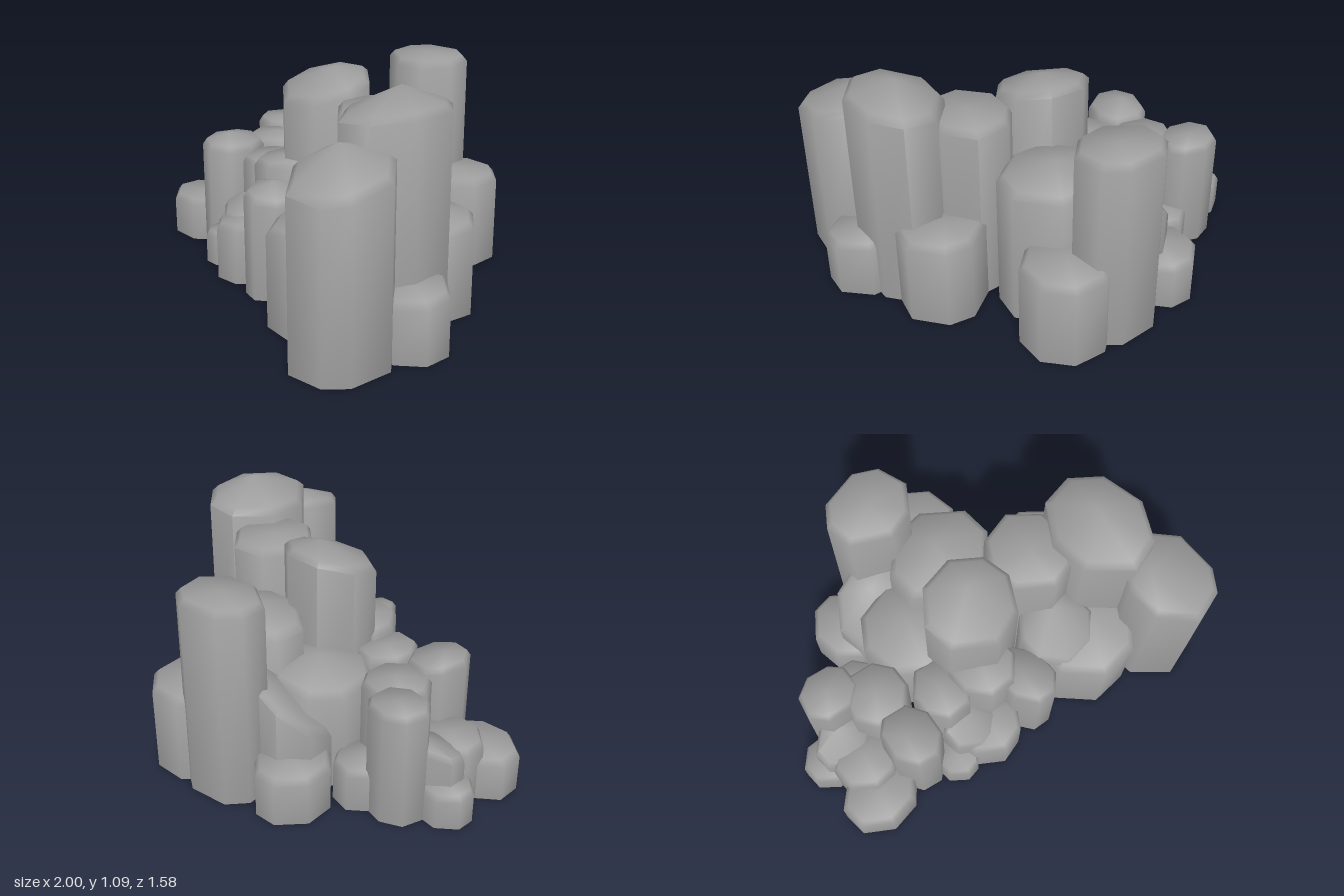
import * as THREE from 'three';
import { toCreasedNormals } from 'three/addons/utils/BufferGeometryUtils.js';

// Small seeded generator for the irregular outlines
function seeded(seed) {
  let s = seed * 7919 + 13;
  return () => (s = (s * 16807) % 2147483647) / 2147483647;
}

// Eight-sided outline with uneven corners, fitted to the box x0..x1, z0..z1
function outline(x0, x1, z0, z1, rand) {
  const n = 8, pts = [], turn = Math.PI / 8 + (rand() - 0.5) * 0.4;
  for (let i = 0; i < n; i++) {
    const a = ((i + (rand() - 0.5) * 0.35) / n) * Math.PI * 2 + turn;
    pts.push([Math.cos(a), Math.sin(a)]);
  }
  const fit = (k, lo, hi) => {
    const v = pts.map((p) => p[k]), min = Math.min(...v), max = Math.max(...v);
    pts.forEach((p) => { p[k] = lo + ((p[k] - min) / (max - min)) * (hi - lo); });
  };
  fit(0, x0, x1);
  fit(1, z0, z1);
  return pts;
}

// Open-bottomed column: wall, soft bevel and a sloping, pointed cap
function columnGeometry(c, seed) {
  const [x0, x1, z0, z1, rim, apex, sx = 0, sz = 0, ax = 0, az = 0] = c;
  const cx = (x0 + x1) / 2, cz = (z0 + z1) / 2;
  const pts = outline(x0, x1, z0, z1, seeded(seed));
  const n = pts.length, pos = [], index = [];
  const slope = (x, z) => rim + sx * (x - cx) + sz * (z - cz);
  pts.forEach(([x, z]) => pos.push(x, 0, z));
  pts.forEach(([x, z]) => pos.push(x, slope(x, z) - 0.02, z));
  pts.forEach(([x, z]) => {
    const bx = cx + (x - cx) * 0.87, bz = cz + (z - cz) * 0.87;
    pos.push(bx, slope(bx, bz) + 0.01, bz);
  });
  pos.push(cx + ax, apex, cz + az);
  for (let i = 0; i < n; i++) {
    const j = (i + 1) % n;
    for (const r of [0, n]) index.push(r + i, r + n + i, r + j, r + j, r + n + i, r + n + j);
    index.push(2 * n + i, 3 * n, 2 * n + j);
  }
  const g = new THREE.BufferGeometry();
  g.setAttribute('position', new THREE.Float32BufferAttribute(pos, 3));
  g.setIndex(index);
  return toCreasedNormals(g, 1.1);
}

// Each row: x0, x1, z0, z1, rim height, apex height, slope x, slope z, apex shift x, z
const tallColumns = [
  [-0.23, 0.18, -0.785, -0.43, 0.965, 0.985, 0, -0.05],
  [-0.24, 0.2, -0.165, 0.25, 0.935, 1.01, 0.03, -0.27, 0.02, -0.04],
  [0.17, 0.54, -0.17, 0.24, 0.9, 0.915, 0.02, 0],
  [0.435, 0.855, -0.07, 0.455, 0.99, 1.085, 0.1, 0, 0, -0.03],
  [0.55, 0.94, 0.33, 0.79, 0.825, 0.91, -0.12, -0.2, -0.08, -0.06],
  [-0.13, 0.365, -0.53, -0.09, 0.7, 0.77, 0, 0.02, 0, -0.02],
];
const mediumColumns = [
  [0.01, 0.42, -0.79, -0.39, 0.43, 0.45, 0, 0.02],
  [0.37, 0.78, -0.285, 0.12, 0.425, 0.45, 0, -0.03, 0, -0.04],
  [0.17, 0.66, 0.14, 0.625, 0.47, 0.5, 0.1, -0.04, 0.04, 0],
  [0.12, 0.48, 0.12, 0.47, 0.52, 0.61, 0.1, -0.3, 0.03, -0.07],
  [-0.09, 0.165, 0.2, 0.52, 0.49, 0.53, -0.15, 0, -0.03, 0],
  [-0.25, 0.05, 0.02, 0.355, 0.58, 0.6, 0.08, 0],
  [-0.44, -0.18, -0.02, 0.28, 0.52, 0.535, 0, 0],
  [-0.695, -0.43, 0.05, 0.36, 0.55, 0.585, -0.08, 0, -0.03, 0],
  [-0.845, -0.56, -0.34, -0.09, 0.555, 0.57, -0.03, 0],
  [-0.7, -0.39, -0.215, 0.09, 0.53, 0.555, 0, 0],
  [-0.42, -0.04, -0.59, -0.24, 0.45, 0.53, 0.55, -0.6, 0.03, -0.05],
  [-0.43, 0.03, -0.43, 0.03, 0.51, 0.57, 0.1, 0],
];
const shortColumns = [
  [-0.515, -0.18, -0.695, -0.34, 0.225, 0.25, 0, 0],
  [0.63, 1.0, 0.085, 0.415, 0.275, 0.3, 0, -0.07],
  [-0.375, -0.05, 0.18, 0.515, 0.27, 0.295, 0.1, 0],
  [-0.42, -0.16, 0.18, 0.425, 0.31, 0.36, -0.05, -0.3, 0, -0.05],
  [-0.515, -0.31, 0.24, 0.455, 0.155, 0.175, 0.1, 0],
  [-1.0, -0.625, 0.06, 0.375, 0.2, 0.212, 0, 0],
  [-0.91, -0.6, -0.08, 0.215, 0.285, 0.3, 0, 0],
  [-0.92, -0.64, -0.18, 0.05, 0.31, 0.36, 0.1, -0.35, 0.02, -0.05],
  [-1.0, -0.73, -0.2, 0.03, 0.16, 0.185, 0, 0],
  [-0.67, -0.4, -0.39, -0.1, 0.2, 0.22, 0, 0],
];

export function createModel() {
  const stone = new THREE.MeshStandardMaterial({ color: 0x9c9c9c, side: THREE.DoubleSide });
  stone.name = 'greyStone';
  const model = new THREE.Group();
  model.name = 'stoneColumns';
  let seed = 1;
  for (const [name, rows] of Object.entries({ tallColumn: tallColumns, mediumColumn: mediumColumns, shortColumn: shortColumns })) {
    rows.forEach((row, i) => {
      const mesh = new THREE.Mesh(columnGeometry(row, seed++), stone);
      mesh.name = name + (i + 1);
      model.add(mesh);
    });
  }
  return model;
}
